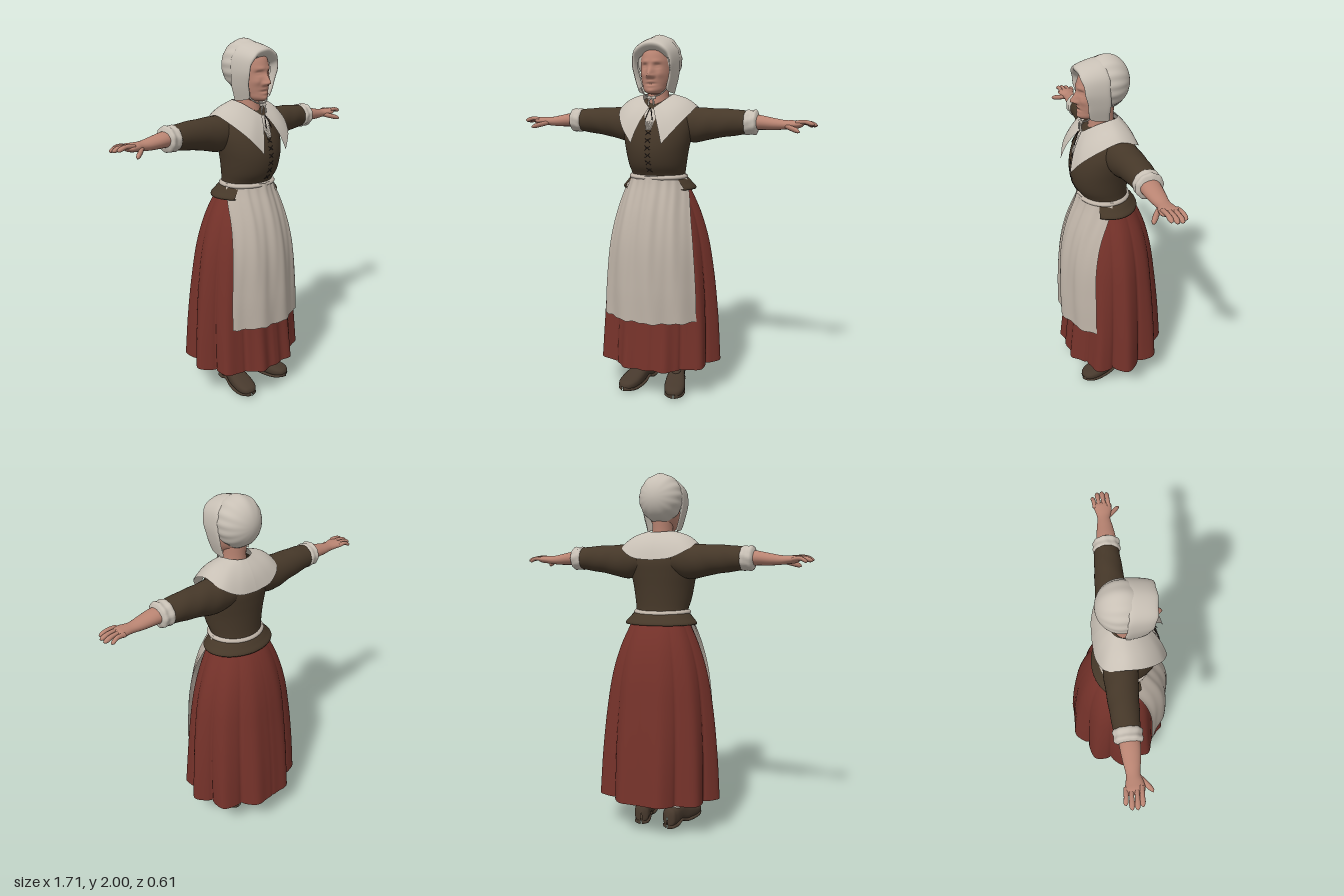
import * as THREE from 'three';
import { mergeVertices } from 'three/addons/utils/BufferGeometryUtils.js';

const { sin, cos, abs, sign, pow, PI, exp, sqrt } = Math;
const mat = (name, color, side = THREE.FrontSide) => {
  const m = new THREE.MeshStandardMaterial({ color, side });
  m.name = name;
  return m;
};

// Smooth lookup: first column is the key, the rest are values
function table(rows) {
  const n = rows[0].length - 1;
  const it = new THREE.CubicInterpolant(rows.map(r => r[0]), rows.flatMap(r => r.slice(1)), n, new Float32Array(n));
  return k => Array.from(it.evaluate(k));
}

// Smooth surface from f(u, v); the outside is along Pu x Pv
function grid(f, nu, nv) {
  const pos = [], idx = [];
  for (let j = 0; j <= nv; j++) for (let i = 0; i <= nu; i++) pos.push(...f(i / nu, j / nv));
  for (let j = 0; j < nv; j++) for (let i = 0; i < nu; i++) {
    const a = j * (nu + 1) + i, c = a + nu + 1;
    idx.push(a, a + 1, c + 1, a, c + 1, c);
  }
  let g = new THREE.BufferGeometry();
  g.setAttribute('position', new THREE.Float32BufferAttribute(pos, 3));
  g.setIndex(idx);
  g = mergeVertices(g, 1e-5);
  g.computeVertexNormals();
  return g;
}

// Upright body from a table y: halfWidth, zFront, zBack
const upright = (tab, y0, y1, nu, nv, shape = p => p) => grid((u, v) => {
  const y = y0 + (y1 - y0) * v, [w, f, b] = tab(y), a = u * 2 * PI, c = (f + b) / 2;
  return shape([w * sin(a), y, c + (f - b) / 2 * cos(a)], v, c);
}, nu, nv);

// Limb along +x from a table x: cy, ry, cz, rz
const limb = (tab, x0, x1, nu, nv, bump = () => 1) => grid((u, v) => {
  const x = x0 + (x1 - x0) * v, [cy, ry, cz, rz] = tab(x), a = u * 2 * PI, k = bump(a, v);
  return [x, cy + ry * k * cos(a), cz + rz * k * sin(a)];
}, nu, nv);

const curve = pts => new THREE.CatmullRomCurve3(pts.map(p => new THREE.Vector3(...p)));
const cord = (pts, r) => new THREE.TubeGeometry(curve(pts), 12, r, 6);
const gauss = (x, s) => exp(-x * x / (s * s));

export function createModel() {
  const model = new THREE.Group();
  const linen = mat('linen', 0xc8c0b5, THREE.DoubleSide);
  const apronCloth = mat('apronCloth', 0xbdb2a6, THREE.DoubleSide);
  const wool = mat('redWool', 0x75322a, THREE.DoubleSide);
  const brown = mat('brownCloth', 0x463829, THREE.DoubleSide);
  const skin = mat('skin', 0xb98472);
  const leather = mat('leather', 0x47392d);
  const lace = mat('darkLace', 0x2a2220);
  const add = (name, geo, m, parent = model) => {
    const mesh = new THREE.Mesh(geo, m);
    mesh.name = name;
    parent.add(mesh);
    return mesh;
  };

  // Skirt with deep rounded folds opening toward the hem, narrow pleats in front
  const skirt = table([[0.19, 0.36, 0.285, -0.32], [0.45, 0.344, 0.255, -0.297], [0.7, 0.317, 0.235, -0.267],
    [0.9, 0.281, 0.213, -0.237], [1.05, 0.232, 0.188, -0.197], [1.15, 0.185, 0.165, -0.153], [1.22, 0.15, 0.14, -0.11]]);
  const skirtPoint = (u, v) => {
    const y = 0.19 + 1.03 * v, [w, f, b] = skirt(y), a = u * 2 * PI, side = a > PI ? a - 2 * PI : a;
    const depth = (0.02 + 0.14 * (1 - v)) * (1 - 0.6 * gauss(a - PI, 0.25)) * (1 - 0.6 * gauss(side, 0.5));
    const k = 1 - depth * (1 - pow(abs(sin(5 * a)), 0.85)) + (1 - v) * (0.008 + 0.026 * gauss(side, 0.7)) * cos(20 * a);
    const z = k * cos(a) * (cos(a) > 0 ? f : -b);
    return [w * k * sin(a), y - 0.03 * z * (1 - v), z];
  };
  add('skirt', grid(skirtPoint, 200, 36), wool);
  add('skirtUnderside', grid((u, v) => {
    const [x, y, z] = skirtPoint(u, 0);
    return [x * v, y + 0.03 * (1 - v), z * v];
  }, 200, 6), wool);

  // Apron sheet and waistband
  const apron = table([[0.46, 0.267, 0.295, 0.83], [0.65, 0.26, 0.292, 0.84], [0.9, 0.238, 0.273, 0.86],
    [1.05, 0.213, 0.24, 0.95], [1.15, 0.192, 0.204, 1.1], [1.2, 0.177, 0.183, 1.2], [1.25, 0.162, 0.168, 1.3]]);
  add('apron', grid((u, v) => {
    const y = 0.46 + 0.79 * v, [w, f, m] = apron(y), s = 2 * u - 1, a = m * s;
    const fold = 0.008 * sin(11 * s + 2 * v) * (1 - 0.5 * v) + 0.003 * sin(27 * s - 3 * v) * v;
    return [w * sin(a) / sin(m), y + 0.003 * sin(23 * s) * (1 - v), f * pow(cos(a), 1.35) + fold];
  }, 80, 30), apronCloth);
  const band = table([[0, 0.152, 0.155, -0.103], [0.25, 0.163, 0.17, -0.112], [0.75, 0.161, 0.168, -0.11], [1, 0.148, 0.15, -0.098]]);
  add('waistband', upright(band, 0, 1, 48, 8, p => [p[0], 1.225 + 0.03 * p[1] + 0.05 * p[2] * (p[2] < 0), p[2]]), apronCloth);

  // Bodice and its flared back skirt
  const torso = table([[1.19, 0.153, 0.148, -0.108], [1.25, 0.15, 0.155, -0.1], [1.3, 0.16, 0.188, -0.1],
    [1.38, 0.174, 0.208, -0.104], [1.45, 0.187, 0.203, -0.11], [1.52, 0.192, 0.18, -0.113],
    [1.58, 0.172, 0.148, -0.097], [1.63, 0.12, 0.108, -0.068], [1.665, 0.07, 0.075, -0.03]]);
  add('bodice', upright(torso, 1.19, 1.665, 56, 30), brown);
  const peplum = table([[0, 0.175, 0.16, -0.13], [0.2, 0.207, 0.172, -0.152], [0.6, 0.185, 0.162, -0.131], [1, 0.153, 0.145, -0.103]]);
  add('peplum', grid((u, v) => {
    const [w, f, b] = peplum(v), a = 0.95 + u * (2 * PI - 1.9);
    const y = v < 0.2 ? 1.178 - 0.03 * v : 1.172 + (v - 0.2) * 0.088;
    return [w * sin(a), y, (f + b) / 2 + (f - b) / 2 * cos(a)];
  }, 48, 15), brown);

  // Shift showing at the neckline, and front lacing
  const front = (x, y) => { const [w, f, b] = torso(y); return (f + b) / 2 + (f - b) / 2 * sqrt(1 - (x / w) ** 2); };
  add('shiftFront', grid((u, v) => {
    const y = 1.5 + 0.11 * v, x = (2 * u - 1) * (0.014 + 0.03 * v);
    return [x, y, front(x, y) + 0.007 + 0.002 * sin(u * 25)];
  }, 20, 8), linen);
  for (let i = 0; i < 6; i++) for (const s of [-1, 1]) {
    const y = 1.285 + i * 0.04;
    add('bodiceLace', cord([[-0.015 * s, y - 0.011, front(0, y - 0.011) + 0.001], [0, y, front(0, y) + 0.002],
      [0.015 * s, y + 0.011, front(0, y + 0.011) + 0.001]], 0.002), lace);
  }

  // Wide pointed collar, two mirrored halves
  const inner = curve([[0.012, 1.615, 0.148], [0.045, 1.642, 0.12], [0.073, 1.672, 0.07], [0.08, 1.685, 0.02],
    [0.065, 1.685, -0.02], [0.035, 1.682, -0.043], [0, 1.68, -0.05]]);
  const outer = curve([[0.085, 1.43, 0.236], [0.15, 1.51, 0.195], [0.203, 1.585, 0.105], [0.216, 1.62, 0.01],
    [0.195, 1.585, -0.085], [0.11, 1.54, -0.128], [0, 1.528, -0.137]]);
  const collarGeo = grid((u, v) => {
    const p = inner.getPoint(u).lerp(outer.getPoint(u), 1 - v), h = 0.011 * sin(PI * v);
    const r = Math.hypot(p.x, p.z) || 1;
    return [p.x + h * p.x / r, p.y + h * 0.8, p.z + h * p.z / r];
  }, 48, 10);

  // Neck and head with sculpted face
  const neck = table([[1.6, 0.07, 0.11, -0.04], [1.67, 0.058, 0.1, -0.03], [1.76, 0.058, 0.095, -0.035]]);
  add('neck', upright(neck, 1.6, 1.76, 32, 8), skin);
  const head = table([[1.682, 0.025, 0.14, 0.06], [1.698, 0.05, 0.157, 0.03], [1.73, 0.069, 0.16, -0.02], [1.77, 0.081, 0.162, -0.05],
    [1.82, 0.086, 0.163, -0.07], [1.87, 0.084, 0.16, -0.07], [1.92, 0.07, 0.135, -0.05], [1.945, 0.04, 0.1, 0]]);
  add('head', upright(head, 1.682, 1.945, 96, 60, ([x, y, z], v, c) => {
    if (v === 0 || v === 1) return [0, y, c];
    if (z < c) return [x, y, z];
    const ax = abs(x);
    z += 0.036 * gauss(x, 0.015) * gauss(y - 1.782, y < 1.782 ? 0.012 : 0.034);
    z += 0.012 * gauss(ax - 0.016, 0.009) * gauss(y - 1.778, 0.01);
    z -= 0.013 * gauss(ax - 0.035, 0.017) * gauss(y - 1.83, 0.012);
    z += 0.006 * gauss(ax - 0.036, 0.013) * gauss(y - 1.828, 0.006);
    z += 0.005 * gauss(ax - 0.03, 0.025) * gauss(y - 1.853, 0.01);
    z += 0.007 * gauss(ax - 0.048, 0.018) * gauss(y - 1.787, 0.018);
    z -= 0.007 * gauss(x, 0.028) * gauss(y - 1.738, 0.005);
    z += 0.004 * gauss(x, 0.02) * (gauss(y - 1.75, 0.007) + gauss(y - 1.727, 0.007));
    return [x, y, z + 0.007 * gauss(x, 0.02) * gauss(y - 1.7, 0.013)];
  }), skin);

  // Cap: gathered crown and a brim that frames the face
  add('capCrown', grid((u, v) => {
    const a = u * 2 * PI, t = v * PI, k = 1 + 0.016 * sin(13 * a + 2 * sin(2 * a)) * sin(t) ** 2;
    return [0.12 * k * sin(t) * cos(a), 1.864 + 0.134 * k * sin(t) * sin(a), 0.008 - 0.12 * cos(t)];
  }, 104, 32), linen);
  const arch = curve([[0.09, 1.69, 0], [0.112, 1.77, 0], [0.121, 1.85, 0], [0.108, 1.92, 0], [0.066, 1.963, 0], [0, 1.98, 0],
    [-0.066, 1.963, 0], [-0.108, 1.92, 0], [-0.121, 1.85, 0], [-0.112, 1.77, 0], [-0.09, 1.69, 0]]);
  // Rows: along, width scale, height scale above the cheeks, depth
  const brim = table([[0, 0.95, 0.95, 0.15], [0.15, 1.01, 1.03, 0.22], [0.3, 1.01, 1.02, 0.4], [0.65, 0.93, 0.86, 0.92],
    [0.75, 0.88, 0.79, 1], [0.85, 0.81, 0.68, 0.97], [1, 0.74, 0.5, 0.75]]);
  add('capBrim', grid((u, v) => {
    const p = arch.getPoint(u), [kx, ky, d] = brim(v), y = 1.82 + (p.y - 1.82) * (p.y > 1.82 ? ky : kx);
    return [p.x * kx, y, d * (0.12 + 0.2 * (y - 1.7)) + 0.002 * sin(u * 40)];
  }, 64, 24), linen);

  // Tied strings under the chin
  for (const s of [-1, 1]) {
    add('capString', cord([[0.076 * s, 1.72, 0.1], [0.045 * s, 1.685, 0.13], [0, 1.668, 0.142]], 0.004), linen);
    add('capStringTail', cord([[0, 1.668, 0.144], [0.012 * s, 1.652, 0.15], [0.014 * s, 1.625, 0.15]], 0.005), linen);
    const loop = add('capBow', new THREE.SphereGeometry(0.01, 12, 8), linen);
    loop.scale.set(1.3, 0.8, 0.6);
    loop.position.set(0.013 * s, 1.666, 0.145);
    add('collarString', cord([[0, 1.615, 0.16], [0.01 * s, 1.59, 0.172], [0.02 * s, 1.55, 0.19]], 0.0025), lace);
  }

  // Arm, hand, leg and shoe profiles
  const sleeve = table([[0.1, 1.532, 0.088, -0.01, 0.088], [0.2, 1.52, 0.095, -0.012, 0.086], [0.3, 1.529, 0.082, -0.015, 0.078],
    [0.4, 1.535, 0.072, -0.015, 0.071], [0.5, 1.537, 0.06, -0.013, 0.063]]);
  const cuff = table([[0.47, 1.537, 0.05, -0.013, 0.05], [0.477, 1.537, 0.062, -0.013, 0.066], [0.51, 1.537, 0.063, -0.012, 0.067],
    [0.538, 1.538, 0.06, -0.01, 0.064], [0.545, 1.538, 0.04, -0.01, 0.045]]);
  const forearm = table([[0.5, 1.54, 0.042, -0.01, 0.05], [0.56, 1.538, 0.038, -0.008, 0.05], [0.63, 1.531, 0.031, -0.008, 0.042],
    [0.69, 1.528, 0.024, -0.008, 0.034], [0.73, 1.53, 0.022, -0.006, 0.043], [0.77, 1.532, 0.016, -0.01, 0.047], [0.785, 1.532, 0.002, -0.012, 0.03]]);
  const leg = table([[0.06, 0.036, 0.015, -0.06], [0.12, 0.037, 0.02, -0.058], [0.2, 0.043, 0.03, -0.067], [0.6, 0.055, 0.05, -0.07]]);
  const shoe = table([[-0.098, 0.004, 0.07], [-0.09, 0.03, 0.1], [-0.06, 0.043, 0.118], [0, 0.045, 0.122], [0.04, 0.049, 0.112],
    [0.1, 0.057, 0.092], [0.16, 0.056, 0.074], [0.2, 0.043, 0.062], [0.218, 0.024, 0.05], [0.224, 0.003, 0.035]]);
  const footLoft = (bottom, topOf, grow) => grid((u, v) => {
    const z = -0.098 + 0.322 * (1 - cos(PI * v)) / 2, [w, t] = shoe(z), a = u * 2 * PI;
    const b = bottom(z), h = (topOf(t, z) - b) / 2, e = x => sign(x) * pow(abs(x), 0.75);
    return [w * grow * e(cos(a)), b + h + h * e(sin(a)), z * grow];
  }, 36, 36);
  const arched = z => 0.018 * gauss(z - 0.005, 0.03) + 0.01 * gauss(z - 0.224, 0.04);

  for (const s of [1, -1]) {
    const half = new THREE.Group();
    half.name = s > 0 ? 'leftSide' : 'rightSide';
    half.scale.x = s;
    model.add(half);
    add('collar', collarGeo, linen, half);
    add('sleeve', limb(sleeve, 0.1, 0.5, 36, 20, (a, v) => 1 + 0.012 * sin(3 * a + 22 * v)), brown, half);
    add('cuff', limb(cuff, 0.47, 0.545, 40, 14, (a, v) => 1 + 0.025 * sin(9 * a + 4 * v)), linen, half);
    add('forearm', limb(forearm, 0.5, 0.785, 28, 28), skin, half);

    // Fingers and thumb
    [[-0.048, 0.828, -0.056], [-0.024, 0.851, -0.03], [0.001, 0.853, -0.004], [0.024, 0.842, 0.02]].forEach(([z, x, zt], i) => {
      const y = 1.532 + 0.003 * i, tip = 1.522 + 0.004 * i;
      add('finger', limb(table([[0.745, y, 0.011, z, 0.012], [0.79, y + 0.004, 0.0105, (z + zt) / 2, 0.011],
        [x - 0.008, tip, 0.0085, zt, 0.009], [x, tip - 0.001, 0.001, zt, 0.001]]), 0.745, x, 12, 16), skin, half);
    });
    add('thumb', limb(table([[0.69, 1.522, 0.012, 0.008, 0.016], [0.73, 1.511, 0.014, 0.045, 0.016], [0.765, 1.5, 0.01, 0.07, 0.011],
      [0.775, 1.496, 0.001, 0.076, 0.001]]), 0.69, 0.775, 14, 16), skin, half);

    // Stocking and shoe, toes turned out
    const foot = new THREE.Group();
    foot.name = 'foot';
    foot.position.x = 0.103;
    foot.rotation.y = 0.22;
    half.add(foot);
    add('stocking', upright(leg, 0.06, 0.6, 28, 12), linen, foot);
    add('shoe', footLoft(z => 0.01 + arched(z), t => t, 1), leather, foot);
    add('sole', footLoft(arched, (t, z) => 0.024 + arched(z), 1.01), leather, foot);
    const tongue = add('shoeTongue', new THREE.SphereGeometry(0.03, 16, 10), leather, foot);
    tongue.scale.set(0.95, 0.35, 1.2);
    tongue.position.set(0, 0.11, 0.05);
    tongue.rotation.x = 0.4;
  }
  return model;
}
